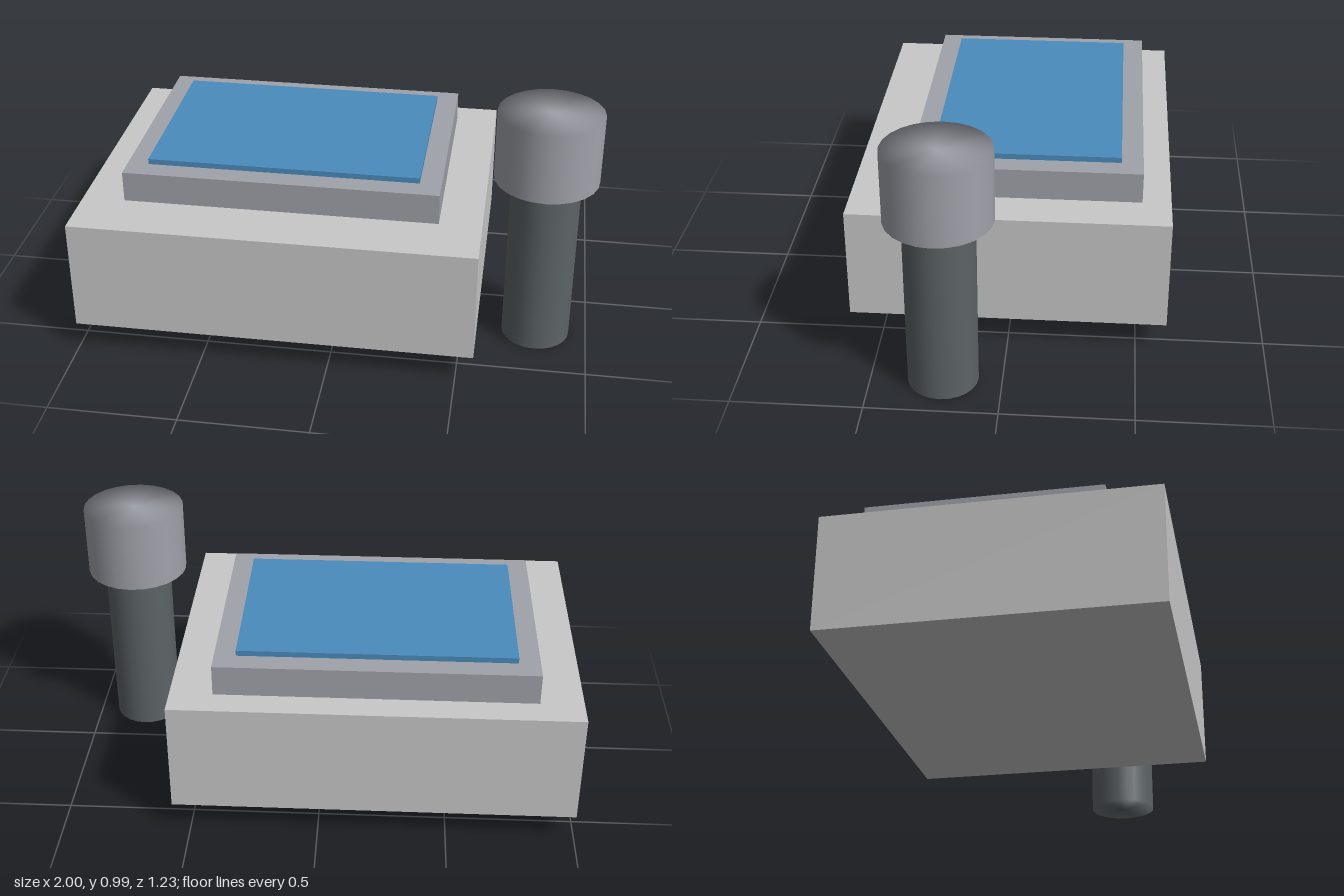
import * as THREE from 'three';

const material = (name, color) => {
  const m = new THREE.MeshStandardMaterial({ color });
  m.name = name;
  return m;
};

export function createModel() {
  const group = new THREE.Group();
  const lightGrey = material('lightGrey', 0xc8c8c8);
  const midGrey = material('midGrey', 0xa0a2aa);
  const blue = material('blue', 0x4a8cbc);
  const darkGrey = material('darkGrey', 0x5c6366);

  const add = (name, geometry, mat, x, y, z) => {
    const mesh = new THREE.Mesh(geometry, mat);
    mesh.name = name;
    mesh.position.set(x, y, z);
    group.add(mesh);
  };

  // Box given by its limits on each axis
  const slab = (name, mat, [x0, x1], [y0, y1], [z0, z1]) =>
    add(name, new THREE.BoxGeometry(x1 - x0, y1 - y0, z1 - z0), mat,
      (x0 + x1) / 2, (y0 + y1) / 2, (z0 + z1) / 2);

  // Flat-ended cylinder whose cap rims share the side normals, for soft shading
  const post = (name, mat, radius, y0, y1) => {
    const geometry = new THREE.CylinderGeometry(radius, radius, y1 - y0, 24);
    const { position, normal } = geometry.attributes;
    for (let i = 0; i < position.count; i++) {
      const x = position.getX(i), z = position.getZ(i);
      const r = Math.hypot(x, z);
      if (r > radius / 2) normal.setXYZ(i, x / r, 0, z / r);
    }
    add(name, geometry, mat, 0.797, (y0 + y1) / 2, 0.225);
  };

  // Stepped block with a blue panel on top
  slab('base', lightGrey, [-1, 0.568], [0.117, 0.565], [-0.617, 0.617]);
  slab('raisedStep', midGrey, [-0.833, 0.402], [0.565, 0.688], [-0.506, 0.392]);
  slab('topPanel', blue, [-0.75, 0.318], [0.688, 0.71], [-0.422, 0.308]);

  // Free-standing post beside the block
  post('postShaft', darkGrey, 0.135, 0, 0.706);
  post('postHead', midGrey, 0.202, 0.706, 0.986);

  return group;
}
